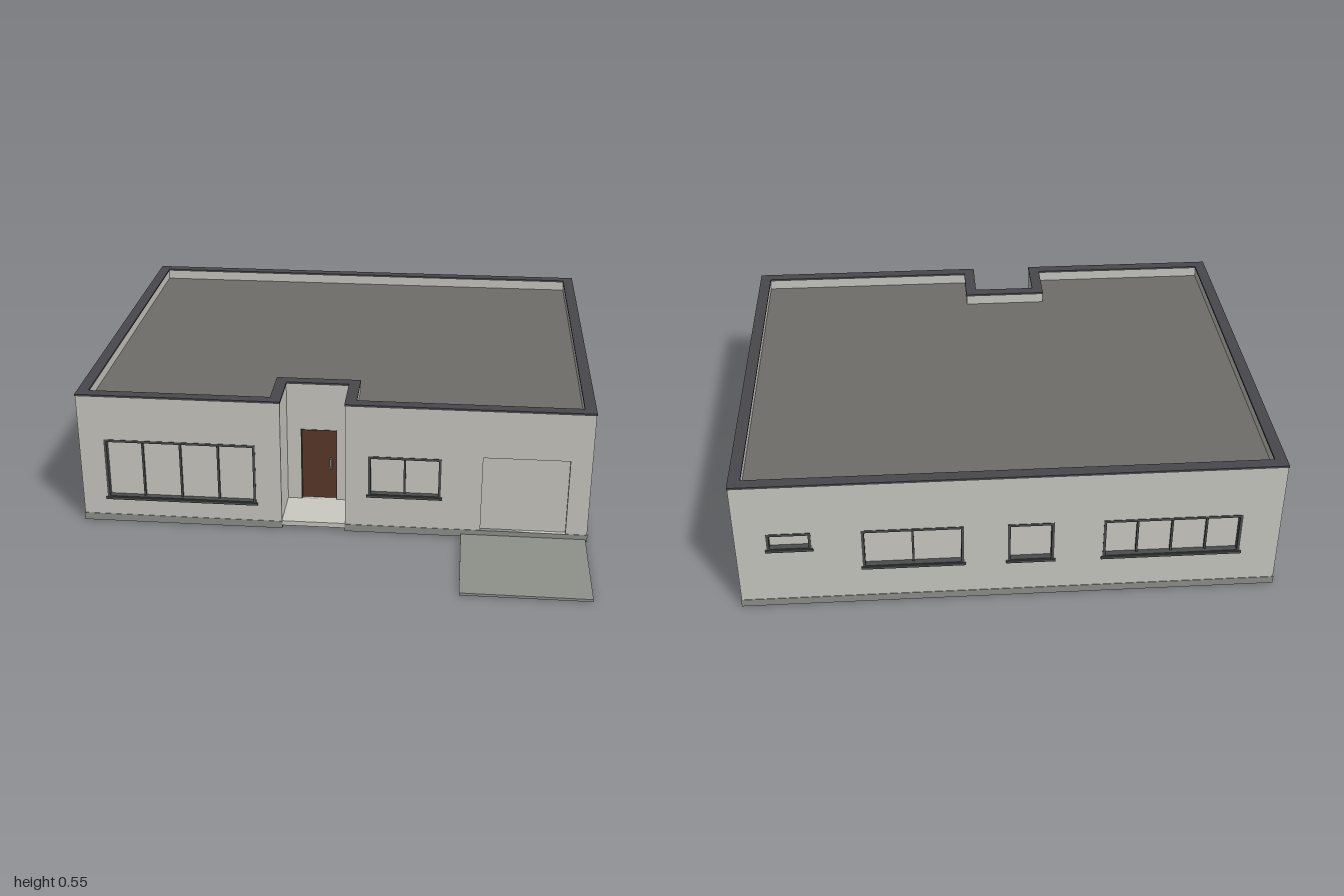
import * as THREE from 'three';

const mat = (name, color) => {
  const m = new THREE.MeshStandardMaterial({ color });
  m.name = name;
  return m;
};

// Overall sizes
const X = 0.993, BACK = -0.99, FRONT = 0.57;
const PORCH = { l: -0.2, r: 0.05, z: 0.375 };
const T = 0.04, TOP = 0.542, BASE = 0.03;

// House footprint with the porch notch, grown outward by o (shape y is -z)
function footprint(o) {
  return [
    [-X - o, FRONT + o], [PORCH.l + o, FRONT + o], [PORCH.l + o, PORCH.z + o], [PORCH.r - o, PORCH.z + o],
    [PORCH.r - o, FRONT + o], [X + o, FRONT + o], [X + o, BACK - o], [-X - o, BACK - o],
  ].map(([x, z]) => new THREE.Vector2(x, -z));
}

function slab(shape, y0, y1) {
  const g = new THREE.ExtrudeGeometry(shape, { depth: y1 - y0, bevelEnabled: false });
  g.rotateX(-Math.PI / 2);
  g.translate(0, y0, 0);
  return g;
}

const rect = (C, x0, x1, y0, y1) => {
  const s = new C();
  s.moveTo(x0, y0);
  s.lineTo(x1, y0);
  s.lineTo(x1, y1);
  s.lineTo(x0, y1);
  s.closePath();
  return s;
};

export function createModel() {
  const M = {
    wall: mat('wall plaster', 0xcac9c2),
    glass: mat('pale glass', 0xcccbc5),
    roof: mat('roof grey', 0x706d69),
    cap: mat('parapet cap', 0x48484d),
    stone: mat('plinth concrete', 0x8f918b),
    door: mat('door brown', 0x5a382a),
    frame: mat('frame grey', 0x4a4d4c),
    handle: mat('handle metal', 0x85878a),
  };
  const house = new THREE.Group();
  house.name = 'house';

  const add = (parent, name, geo, material) => {
    const m = new THREE.Mesh(geo, material);
    m.name = name;
    parent.add(m);
    return m;
  };
  const box = (parent, name, material, x0, x1, y0, y1, z0, z1) =>
    add(parent, name, new THREE.BoxGeometry(x1 - x0, y1 - y0, z1 - z0), material)
      .position.set((x0 + x1) / 2, (y0 + y1) / 2, (z0 + z1) / 2);

  // Four bars around an opening
  function surround(g, x0, x1, y0, y1, f, z0, z1) {
    box(g, 'frameLeft', M.frame, x0, x0 + f, y0, y1, z0, z1);
    box(g, 'frameRight', M.frame, x1 - f, x1, y0, y1, z0, z1);
    box(g, 'frameTop', M.frame, x0 + f, x1 - f, y1 - f, y1, z0, z1);
  }

  // Fillings for wall openings, in wall space: x along the wall, z outward
  const fill = {
    window(g, { x0, x1, y0, y1, panes }) {
      const f = 0.01;
      surround(g, x0, x1, y0, y1, f, -0.03, 0.002);
      box(g, 'frameBottom', M.frame, x0 + f, x1 - f, y0, y0 + f, -0.03, 0.002);
      box(g, 'sill', M.frame, x0 - 0.006, x1 + 0.006, y0 - 0.004, y0 + 0.006, -0.03, 0.007);
      box(g, 'glass', M.glass, x0, x1, y0, y1, -0.029, -0.022);
      for (let i = 1; i < panes; i++) {
        const x = x0 + ((x1 - x0) * i) / panes;
        box(g, 'mullion', M.frame, x - 0.004, x + 0.004, y0, y1, -0.028, -0.012);
      }
    },
    door(g, { x0, x1, y0, y1, f }) {
      surround(g, x0, x1, y0, y1, f, -0.03, 0.002);
      box(g, 'doorLeaf', M.door, x0, x1, y0, y1, -0.034, -0.018);
      box(g, 'handle', M.handle, x1 - 0.03, x1 - 0.022, 0.165, 0.21, -0.018, -0.006);
    },
    garage(g, { x0, x1, y0, y1 }) {
      box(g, 'garageDoor', M.wall, x0, x1, y0, y1, -0.034, -0.015);
    },
  };

  // Wall panel with openings; turn is in quarter turns around y
  function wall(name, turn, x, z, u0, u1, openings = []) {
    const g = new THREE.Group();
    g.name = name;
    g.position.set(x, 0, z);
    g.rotation.y = (turn * Math.PI) / 2;
    house.add(g);
    const s = rect(THREE.Shape, u0, u1, 0.02, TOP);
    for (const o of openings) s.holes.push(rect(THREE.Path, o.x0, o.x1, o.y0, o.y1));
    const geo = new THREE.ExtrudeGeometry(s, { depth: T, bevelEnabled: false });
    geo.translate(0, 0, -T);
    add(g, name + 'Panel', geo, M.wall);
    for (const o of openings) {
      const part = new THREE.Group();
      part.name = o.type;
      g.add(part);
      fill[o.type](part, o);
    }
  }
  const win = (x0, x1, y0, y1, panes) => ({ type: 'window', x0, x1, y0, y1, panes });
  const door = (x0, x1, y1, f) => ({ type: 'door', x0, x1, y0: BASE, y1, f });

  // Front walls either side of the porch
  wall('frontWallRight', 0, 0, FRONT, -X, PORCH.l, [win(-0.895, -0.3, 0.102, 0.358, 4)]);
  wall('frontWallLeft', 0, 0, FRONT, PORCH.r, X, [
    win(0.14, 0.422, 0.16, 0.332, 2),
    { type: 'garage', x0: 0.58, x1: 0.91, y0: BASE, y1: 0.345 },
  ]);
  // Porch recess
  wall('porchBackWall', 0, 0, PORCH.z, PORCH.l - T, PORCH.r + T, [door(-0.145, 0, 0.343, 0.003)]);
  wall('porchSideRight', 1, PORCH.l, 0, -FRONT + T, -PORCH.z);
  wall('porchSideLeft', -1, PORCH.r, 0, PORCH.z, FRONT - T);
  // Side and back walls
  wall('leftWall', 1, X, 0, -FRONT + T, -BACK - T, [win(-0.205, 0.02, 0.204, 0.332, 1), door(0.39, 0.532, 0.332, 0.009)]);
  wall('rightWall', -1, -X, 0, BACK + T, FRONT - T, [win(-0.795, -0.447, 0.178, 0.332, 2), win(-0.068, 0.36, 0.16, 0.332, 3)]);
  wall('backWall', 2, 0, BACK, -X, X, [
    win(-0.88, -0.72, 0.256, 0.332, 1),
    win(-0.54, -0.17, 0.16, 0.332, 2),
    win(-0.01, 0.16, 0.16, 0.332, 1),
    win(0.34, 0.85, 0.16, 0.332, 4),
  ]);

  // Plinth, flat roof and parapet cap
  add(house, 'plinth', slab(new THREE.Shape(footprint(0.002)), 0, BASE), M.stone);
  add(house, 'roof', slab(new THREE.Shape(footprint(-T + 0.002)), 0.485, 0.5), M.roof);
  const cap = new THREE.Shape(footprint(0.002));
  cap.holes.push(new THREE.Path(footprint(-T - 0.002)));
  add(house, 'parapetCap', slab(cap, TOP - 0.003, 0.547), M.cap);

  // Porch floor and driveway
  box(house, 'porchFloor', M.wall, PORCH.l, PORCH.r, 0.012, 0.032, PORCH.z, FRONT);
  box(house, 'driveway', M.stone, 0.505, 0.988, 0, 0.01, FRONT, 1);
  return house;
}
